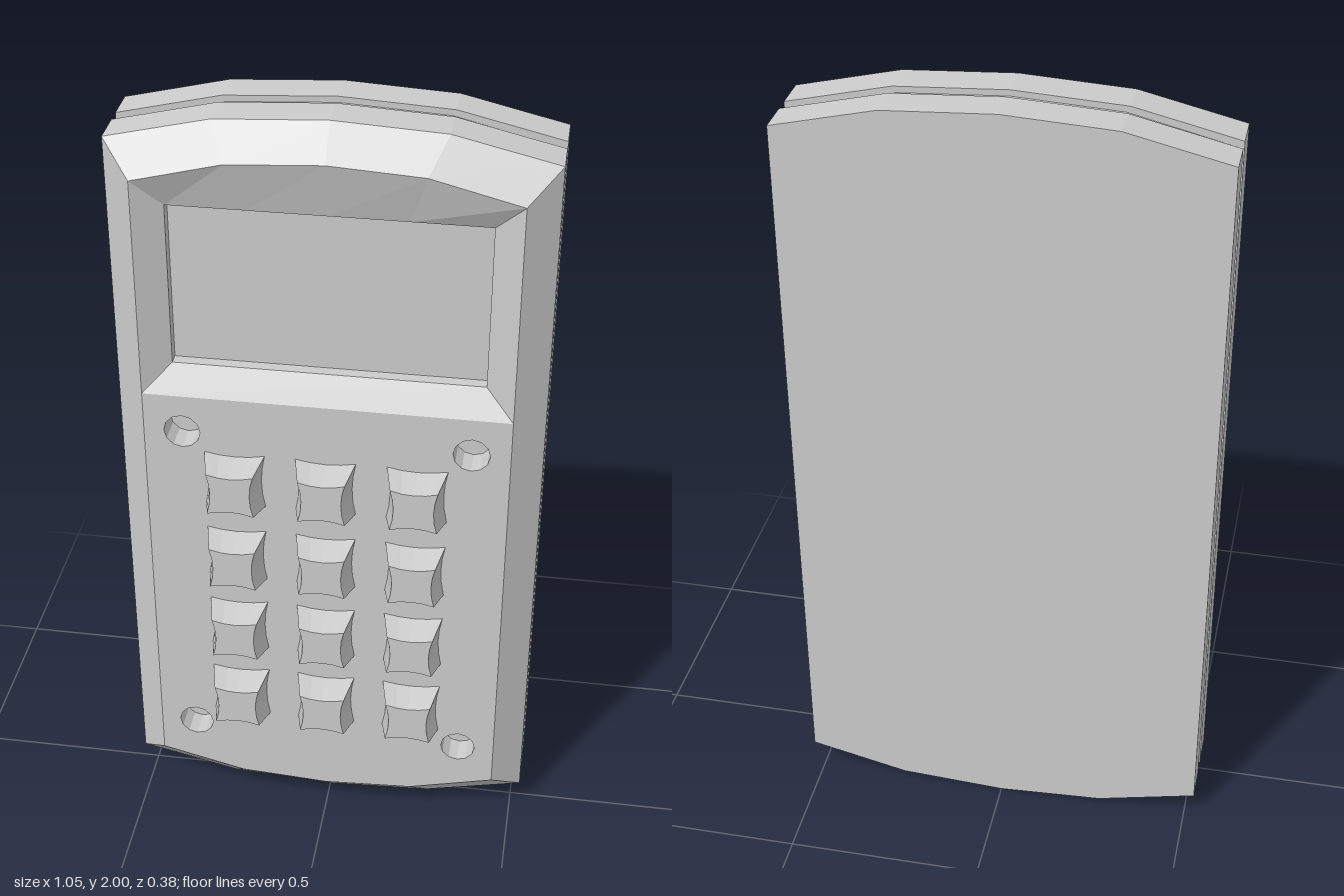
import * as THREE from 'three';

const material = new THREE.MeshStandardMaterial({ color: 0xcccccc, flatShading: true });

// Joins counter-clockwise rings of [x, y] at successive depths; optional flat caps.
function loft(rings, { startCap = false, endCap = false } = {}) {
  const pos = [];
  const tri = (...pts) => pts.forEach((p) => pos.push(...p));
  const at = (ring, j) => [...ring.pts[j % ring.pts.length], ring.z];
  for (let i = 0; i < rings.length - 1; i++) {
    for (let j = 0; j < rings[i].pts.length; j++) {
      const a = at(rings[i], j), b = at(rings[i], j + 1);
      const c = at(rings[i + 1], j + 1), d = at(rings[i + 1], j);
      tri(a, b, c);
      tri(a, c, d);
    }
  }
  const cap = (ring, flip) => {
    const n = ring.pts.length;
    const sum = ring.pts.reduce((s, p) => [s[0] + p[0], s[1] + p[1]], [0, 0]);
    const mid = [sum[0] / n, sum[1] / n, ring.z];
    for (let j = 0; j < n; j++) {
      if (flip) tri(mid, at(ring, j + 1), at(ring, j));
      else tri(mid, at(ring, j), at(ring, j + 1));
    }
  };
  if (startCap) cap(rings[0], true);
  if (endCap) cap(rings[rings.length - 1], false);
  const geometry = new THREE.BufferGeometry();
  geometry.setAttribute('position', new THREE.Float32BufferAttribute(pos, 3));
  geometry.computeVertexNormals();
  return geometry;
}

// Top arc from right to left: corner, shoulder, crown, shoulder, corner.
const topArc = (w, shoulder, yCorner, yShoulder, yCrown) => [
  [w, yCorner], [shoulder, yShoulder], [0, yCrown], [-shoulder, yShoulder], [-w, yCorner],
];
// Mirrors the arc about mid height to close the bottom of the outline.
const caseOutline = (arc) => [...arc, ...arc.map(([x, y]) => [-x, 2 - y])];

const circle = (cx, cy, r, sides) => Array.from({ length: sides }, (_, i) => {
  const t = (i / sides) * Math.PI * 2;
  return [cx + r * Math.cos(t), cy + r * Math.sin(t)];
});

// Square outline whose four sides bow inward.
function pinchedSquare(half, bow, steps = 4) {
  const pts = [];
  for (let side = 0; side < 4; side++) {
    const c = Math.round(Math.cos(side * Math.PI / 2));
    const s = Math.round(Math.sin(side * Math.PI / 2));
    for (let i = 0; i < steps; i++) {
      const u = (2 * i) / steps - 1;
      const x = half - bow * (1 - u * u), y = half * u;
      pts.push([c * x - s * y, s * x + c * y]);
    }
  }
  return pts;
}

export function createModel() {
  const model = new THREE.Group();
  const add = (name, geometry, parent = model) => {
    const mesh = new THREE.Mesh(geometry, material);
    mesh.name = name;
    parent.add(mesh);
    return mesh;
  };
  const faceZ = 0.112;

  // Case: back shell, seam groove, front shell and bevel
  const outer = caseOutline(topArc(0.525, 0.27, 1.925, 1.985, 2));
  const groove = caseOutline(topArc(0.509, 0.262, 1.91, 1.97, 1.985));
  const faceArc = topArc(0.45, 0.23, 1.855, 1.911, 1.925);
  add('case', loft([
    { pts: outer, z: -0.188 },
    { pts: outer, z: -0.095 },
    { pts: groove, z: -0.095 },
    { pts: groove, z: -0.057 },
    { pts: outer, z: -0.057 },
    { pts: outer, z: 0.037 },
    { pts: caseOutline(faceArc), z: faceZ },
  ], { startCap: true }));

  // Keypad face below the screen, pierced by four screw holes
  const screenBottom = 1.29;
  const lowerArc = faceArc.map(([x, y]) => [-x, 2 - y]);
  const facePts = [...lowerArc, [0.45, screenBottom], [-0.45, screenBottom]];
  const face = new THREE.Shape(facePts.map((p) => new THREE.Vector2(...p)));
  const holes = new THREE.Group();
  holes.name = 'screwHoles';
  model.add(holes);
  for (const x of [-0.355, 0.355]) {
    for (const y of [0.253, 1.19]) {
      const pts = circle(x, y, 0.045, 12);
      face.holes.push(new THREE.Path(pts.map((p) => new THREE.Vector2(...p))));
      add('screwHole', loft([{ pts, z: faceZ }, { pts, z: 0.04 }], { endCap: true }), holes);
    }
  }
  add('keypadFace', new THREE.ShapeGeometry(face).translate(0, 0, faceZ));

  // Sloped screen surround with a small step down to the flat screen
  const rim = [[-0.45, screenBottom], [0.45, screenBottom], ...faceArc];
  const screen = [[-0.38, 1.36], [0.38, 1.36], ...topArc(0.38, 0.19, 1.78, 1.78, 1.78)];
  add('screenSurround', loft([
    { pts: rim, z: faceZ },
    { pts: screen, z: 0.07 },
    { pts: screen, z: 0.04 },
  ]));
  add('screen', loft([{ pts: screen, z: 0.04 }], { endCap: true }));

  // Keys: tapered, with pinched sides
  const keyGeometry = loft([
    { pts: pinchedSquare(0.075, 0.009), z: faceZ },
    { pts: pinchedSquare(0.058, 0.009), z: 0.187 },
  ], { endCap: true });
  const keys = new THREE.Group();
  keys.name = 'keypad';
  model.add(keys);
  for (let row = 0; row < 4; row++) {
    for (let col = -1; col <= 1; col++) {
      add('key', keyGeometry, keys).position.set(col * 0.226, 0.382 + row * 0.2265, 0);
    }
  }
  return model;
}
